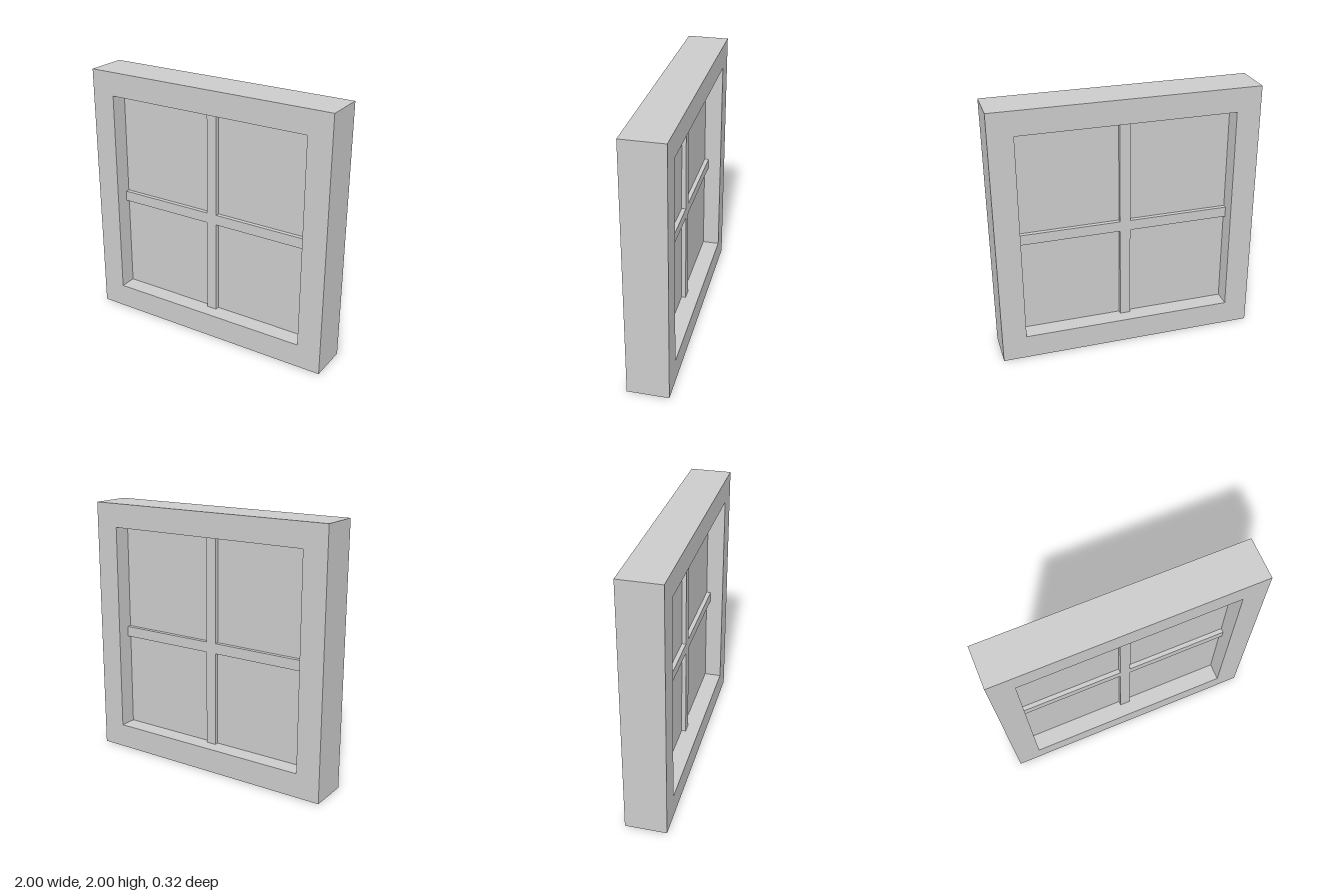
import * as THREE from 'three';

const material = new THREE.MeshStandardMaterial({ color: 0xcccccc });

// Opening in the frame and the glazing bars
const open = { x: 0.815, bottom: 0.187, top: 1.817 };
const bar = { x: 0.04, bottom: 0.925, top: 1.005 };

const polygon = (points, Type = THREE.Shape) =>
  new Type(points.map(([x, y]) => new THREE.Vector2(x, y)));

const rectangle = (x, bottom, top) => [[-x, bottom], [x, bottom], [x, top], [-x, top]];

// Extrudes a shape to equal depth in front of and behind z = 0
function addSlab(group, name, shape, depth) {
  const geometry = new THREE.ExtrudeGeometry(shape, { depth, bevelEnabled: false });
  geometry.translate(0, 0, -depth / 2);
  const mesh = new THREE.Mesh(geometry, material);
  mesh.name = name;
  group.add(mesh);
}

export function createModel() {
  const group = new THREE.Group();
  group.name = 'window';

  // Outer frame with a square opening
  const frame = polygon(rectangle(1, 0, 2));
  frame.holes.push(polygon(rectangle(open.x, open.bottom, open.top).reverse(), THREE.Path));
  addSlab(group, 'frame', frame, 0.316);

  // Glass filling the opening
  addSlab(group, 'pane', polygon(rectangle(open.x, open.bottom, open.top)), 0.048);

  // Crossed glazing bars, standing proud of the glass on both sides
  const cross = polygon([
    [-bar.x, open.bottom], [bar.x, open.bottom], [bar.x, bar.bottom],
    [open.x, bar.bottom], [open.x, bar.top], [bar.x, bar.top],
    [bar.x, open.top], [-bar.x, open.top], [-bar.x, bar.top],
    [-open.x, bar.top], [-open.x, bar.bottom], [-bar.x, bar.bottom],
  ]);
  addSlab(group, 'glazingBars', cross, 0.114);

  return group;
}
